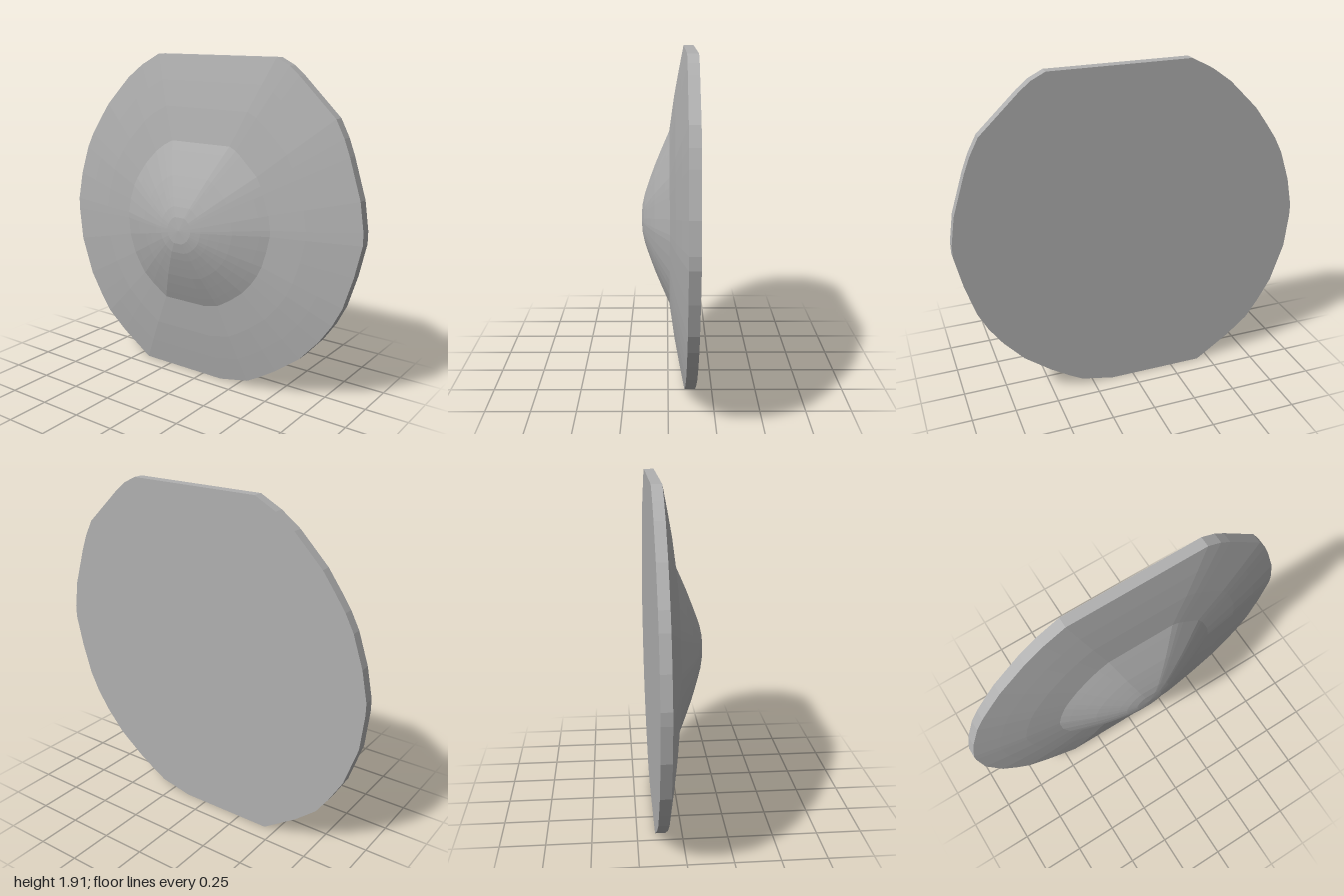
import * as THREE from 'three';

// Uneven hewn outline, clockwise seen from the front
const OUTLINE = [
  [-0.32, 1.91], [0.465, 1.91], [0.545, 1.87], [0.605, 1.82], [0.82, 1.615], [0.87, 1.52],
  [0.905, 1.43], [0.975, 1.21], [1, 1.05], [1, 0.98], [0.96, 0.8], [0.905, 0.62],
  [0.85, 0.51], [0.775, 0.4], [0.66, 0.27], [0.51, 0.155], [0.4, 0.085], [0.32, 0.04],
  [0.13, 0], [-0.43, 0], [-0.63, 0.135], [-0.755, 0.24], [-0.825, 0.34], [-0.905, 0.475],
  [-0.98, 0.7], [-1, 0.9], [-1, 0.97], [-0.965, 1.14], [-0.905, 1.315], [-0.855, 1.41],
  [-0.8, 1.49], [-0.72, 1.6], [-0.555, 1.765], [-0.445, 1.845],
].reverse();
const CENTRE_Y = 0.955;

// Joins scaled copies of the outline; each ring is [scale, z], ordered back to front
function loft(rings) {
  const positions = [];
  const point = ([s, z], i) => {
    const [x, y] = OUTLINE[i % OUTLINE.length];
    return [x * s, CENTRE_Y + (y - CENTRE_Y) * s, z];
  };
  for (let r = 0; r < rings.length - 1; r++) {
    const lower = rings[r], upper = rings[r + 1];
    for (let i = 0; i < OUTLINE.length; i++) {
      const a = point(lower, i), b = point(lower, i + 1);
      const c = point(upper, i + 1), d = point(upper, i);
      if (lower[0] > 0) positions.push(...a, ...b, ...c);
      if (upper[0] > 0) positions.push(...a, ...c, ...d);
    }
  }
  const geometry = new THREE.BufferGeometry();
  geometry.setAttribute('position', new THREE.Float32BufferAttribute(positions, 3));
  geometry.computeVertexNormals();
  return geometry;
}

export function createModel() {
  const group = new THREE.Group();
  group.name = 'shield';
  const grey = new THREE.MeshStandardMaterial({ color: 0xb0b0b0 });
  grey.name = 'grey';

  const parts = {
    // Flat back and straight edge
    backPlate: [[0, -0.15], [1, -0.15]],
    rim: [[1, -0.15], [1, -0.092]],
    // Shallow sloping face
    face: [[1, -0.092], [0.85, -0.063], [0.7, -0.036], [0.5, -0.008]],
    // Rounded central boss
    boss: [[0.5, -0.008], [0.45, 0.014], [0.38, 0.044], [0.31, 0.073], [0.25, 0.095],
      [0.19, 0.116], [0.14, 0.132], [0.08, 0.145], [0, 0.15]],
  };
  for (const [name, rings] of Object.entries(parts)) {
    const mesh = new THREE.Mesh(loft(rings), grey);
    mesh.name = name;
    group.add(mesh);
  }
  return group;
}
